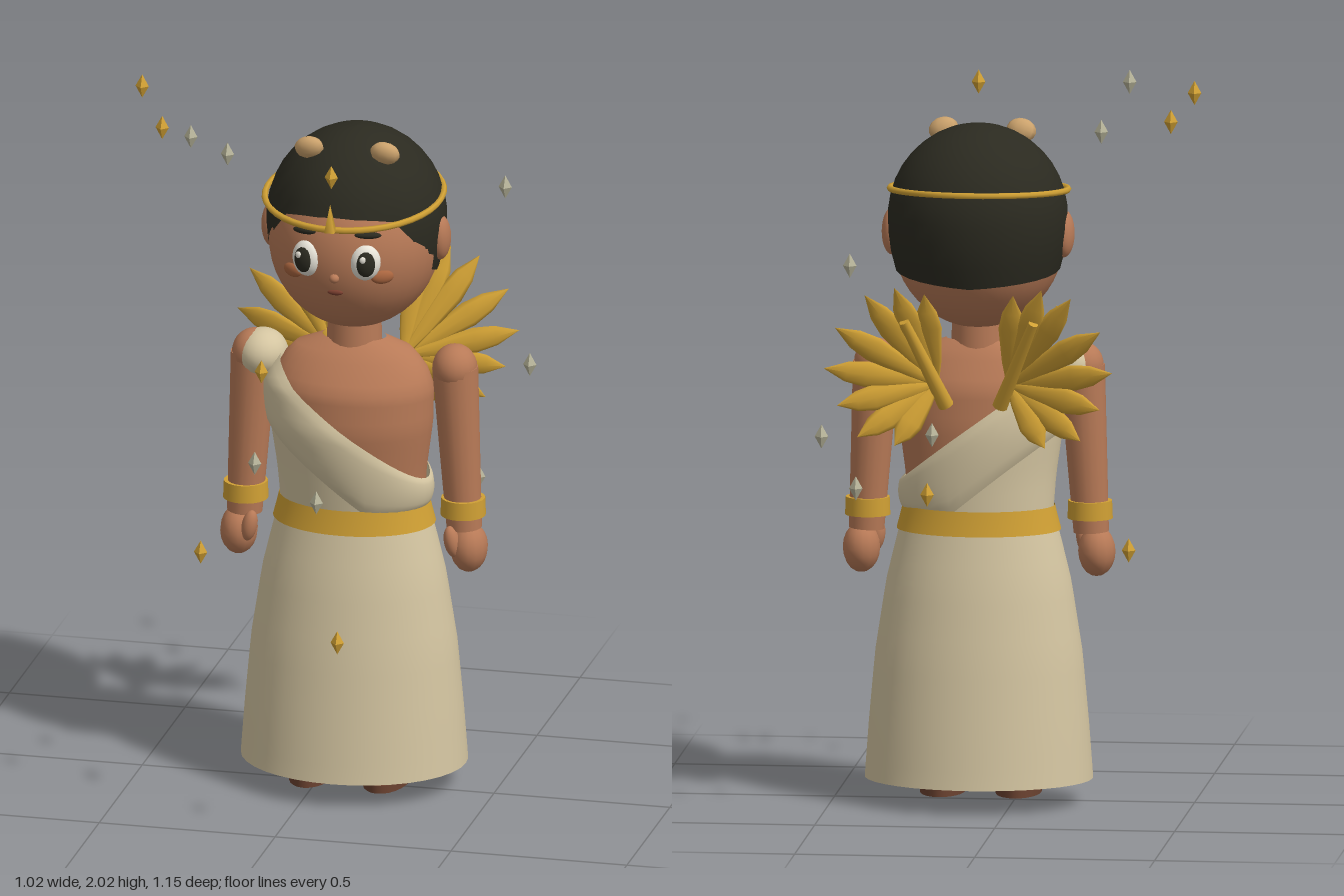
import * as THREE from 'three';

const mat = (name, color, extra = {}) => {
  const m = new THREE.MeshStandardMaterial({ color, ...extra });
  m.name = name;
  return m;
};

export function createModel() {
  const skin = mat('skin', 0xb87a57);
  const dark = mat('dark hair', 0x2b2a20, { side: THREE.DoubleSide });
  const cream = mat('cream cloth', 0xd4c5a1, { side: THREE.DoubleSide });
  const gold = mat('gold', 0xd0a034);
  const silver = mat('pale silver', 0xb5b298);
  const leather = mat('sandal leather', 0x6b4230);
  const tan = mat('tan bud', 0xcba26c);
  const white = mat('eye white', 0xf0ece0);
  const blush = mat('blush', 0xa9653f);
  const lip = mat('lip', 0x7c4030);

  const model = new THREE.Group();
  model.name = 'robedWingedFigure';
  const figure = new THREE.Group();
  figure.name = 'figure';
  figure.position.set(0.095, 0, -0.035);
  model.add(figure);

  const add = (name, geo, material, pos = [0, 0, 0], parent = figure) => {
    const m = new THREE.Mesh(geo, material);
    m.name = name;
    m.position.set(...pos);
    parent.add(m);
    return m;
  };
  const ball = (name, r, material, pos, parent, w = 20, h = 14) =>
    add(name, new THREE.SphereGeometry(1, w, h).scale(...r), material, pos, parent);

  // Tapered cylinder between two points
  const limb = (name, a, b, ra, rb, material, segs = 14) => {
    const A = new THREE.Vector3(...a), B = new THREE.Vector3(...b);
    const d = B.clone().sub(A);
    const m = add(name, new THREE.CylinderGeometry(rb, ra, d.length(), segs), material,
      A.clone().add(B).multiplyScalar(0.5).toArray());
    m.quaternion.setFromUnitVectors(new THREE.Vector3(0, 1, 0), d.normalize());
    return m;
  };

  // Closed-around surface: f(angle, t) gives a point, angle 0 faces +z, t runs upward
  const surface = (f, segs, rows) => {
    const pos = [], idx = [];
    for (let j = 0; j <= rows; j++)
      for (let i = 0; i < segs; i++) pos.push(...f((i / segs) * Math.PI * 2, j / rows));
    for (let j = 0; j < rows; j++)
      for (let i = 0; i < segs; i++) {
        const k = (i + 1) % segs, a = j * segs, b = a + segs;
        idx.push(a + i, a + k, b + k, a + i, b + k, b + i);
      }
    const g = new THREE.BufferGeometry();
    g.setAttribute('position', new THREE.Float32BufferAttribute(pos, 3));
    g.setIndex(idx);
    g.computeVertexNormals();
    return g;
  };
  // Linear lookup in rows of [y, halfWidth, halfDepth, zCentre]
  const section = (table, y) => {
    let i = 0;
    while (i < table.length - 2 && y > table[i + 1][0]) i++;
    const p = table[i], q = table[i + 1];
    const k = THREE.MathUtils.clamp((y - p[0]) / (q[0] - p[0]), 0, 1);
    return p.map((v, n) => v + (q[n] - v) * k);
  };
  const ring = (table, y, a, grow = 0) => {
    const [, hx, hz, zc] = section(table, y);
    return [(hx + grow) * Math.sin(a), y, (hz + grow) * Math.cos(a) + zc];
  };

  // Torso
  const torso = [[0.76, 0.195, 0.135, 0], [0.9, 0.205, 0.145, 0.01], [1.04, 0.225, 0.158, 0.018],
    [1.15, 0.228, 0.15, 0.018], [1.21, 0.205, 0.115, 0.012], [1.255, 0.16, 0.085, 0.005], [1.278, 0.09, 0.06, 0]];
  add('torso', surface((a, t) => ring(torso, 0.76 + 0.518 * t, a), 32, 20), skin);
  add('neck', new THREE.CylinderGeometry(0.073, 0.078, 0.14, 20), skin, [0, 1.3, 0]);

  // One-shouldered bodice with a diagonal top edge, and the sash along it
  const edge = (a) => 1.05 - 0.17 * Math.sin(a);
  add('bodice', surface((a, t) => ring(torso, 0.77 + (edge(a) - 0.77) * t, a, 0.009), 40, 12), cream);
  add('sash', surface((a, t) => {
    const top = edge(a) + 0.004, low = Math.max(0.8, top - 0.2);
    return ring(torso, low + (top - low) * t, a, 0.01 + 0.014 * Math.sin(Math.PI * t) ** 0.5);
  }, 40, 10), cream);
  ball('shoulderDrape', [0.072, 0.068, 0.08], cream, [-0.262, 1.205, 0]);

  // Skirt and belt
  const skirt = [[0.05, 0.317, 0.263, 0], [0.2, 0.306, 0.246, 0], [0.4, 0.288, 0.222, 0],
    [0.6, 0.257, 0.192, 0], [0.72, 0.228, 0.168, 0], [0.81, 0.204, 0.15, 0]];
  add('skirt', surface((a, t) => ring(skirt, 0.05 + 0.76 * t, a), 36, 15), cream);
  add('belt', surface((a, t) => ring(skirt, 0.745 + 0.068 * t, a, 0.007), 36, 2),
    mat('belt gold', 0xd0a034, { side: THREE.DoubleSide }));

  // Head and hair
  ball('head', [0.24, 0.26, 0.25], skin, [0, 1.57, -0.01], figure, 32, 24);
  const hairline = [[0, 1.69], [0.65, 1.68], [1.4, 1.48], [Math.PI, 1.45]];
  add('hair', surface((a, t) => {
    const low = section(hairline, Math.min(a, Math.PI * 2 - a))[1] - 1.62;
    const p = Math.acos(low / (low > 0 ? 0.26 : 0.35)) * (1 - t);
    const c = Math.cos(p), s = Math.sin(p);
    return [0.25 * s * Math.sin(a), 1.62 + c * (c > 0 ? 0.26 : 0.35), -0.027 + 0.254 * s * Math.cos(a)];
  }, 28, 12), dark);
  const band = add('headband', new THREE.TorusGeometry(0.25, 0.009, 6, 40).rotateX(Math.PI / 2).scale(0.985, 1, 1.07),
    gold, [0, 1.694, 0.002]);
  band.rotation.x = 0.08;
  add('headbandSpike', new THREE.ConeGeometry(0.02, 0.08, 4).rotateY(Math.PI / 4), gold, [0, 1.712, 0.283]);

  // Face centre
  ball('nose', [0.014, 0.013, 0.014], skin, [0, 1.52, 0.237]);
  ball('mouth', [0.022, 0.008, 0.006], lip, [0, 1.475, 0.223]);

  // Feather: flattened leaf along +y
  const feather = (len) => new THREE.LatheGeometry(
    [[0.006, 0], [0.022, 0.25], [0.036, 0.62], [0.028, 0.8], [0, 1]]
      .map(([r, h]) => new THREE.Vector2(r, h * len)), 8).scale(1, 1, 0.4);
  const feathers = [[85, 0.29], [70, 0.33], [55, 0.35], [33, 0.345], [11, 0.33], [-10, 0.29], [-33, 0.27], [-56, 0.21]];

  for (const s of [1, -1]) {
    const side = s > 0 ? 'left' : 'right';
    // Eyes, brows, cheeks, ears and hair buds
    const eye = new THREE.Group();
    eye.name = side + 'Eye';
    eye.position.set(s * 0.083, 1.567, 0.214);
    eye.rotation.y = s * 0.3;
    figure.add(eye);
    ball('eyeWhite', [0.043, 0.052, 0.03], white, [0, 0, 0], eye);
    ball('iris', [0.03, 0.039, 0.02], dark, [0, 0, 0.014], eye);
    ball('eyeGlint', [0.009, 0.01, 0.005], white, [-0.009, 0.016, 0.031], eye, 10, 8);
    ball(side + 'Brow', [0.038, 0.01, 0.012], dark, [s * 0.09, 1.646, 0.213]).rotation.set(0, s * 0.38, s * -0.06);
    ball(side + 'Cheek', [0.033, 0.02, 0.013], blush, [s * 0.127, 1.522, 0.196]).rotation.y = s * 0.55;
    ball(side + 'Ear', [0.03, 0.066, 0.045], skin, [s * 0.238, 1.575, -0.02]).rotation.x = 0.12;
    ball(side + 'HairBud', [0.042, 0.034, 0.026], tan, [s * 0.108, 1.845, 0.087], figure, 10, 8).rotation.set(0.4, 0, s * -0.25);

    // Arm, bracelet and hand
    ball(side + 'Shoulder', [0.062, 0.066, 0.068], skin, [s * 0.285, 1.205, 0]);
    limb(side + 'Arm', [s * 0.312, 0.74, 0], [s * 0.286, 1.205, 0], 0.049, 0.064, skin, 18);
    add(side + 'Bracelet', new THREE.CylinderGeometry(0.061, 0.063, 0.05, 20), gold, [s * 0.309, 0.803, 0]);
    ball(side + 'Hand', [0.052, 0.07, 0.064], skin, [s * 0.327, 0.685, 0.005], figure, 14, 10);
    ball(side + 'Thumb', [0.022, 0.045, 0.025], skin, [s * 0.288, 0.71, 0.045]).rotation.z = s * 0.2;

    // Leg and sandal
    limb(side + 'Leg', [s * 0.105, 0.04, -0.01], [s * 0.1, 0.6, 0], 0.046, 0.075, skin);
    ball(side + 'Foot', [0.052, 0.042, 0.105], skin, [s * 0.105, 0.035, 0.05]);
    add(side + 'Sole', new THREE.CylinderGeometry(0.063, 0.063, 0.022, 24).scale(1, 1, 1.9), leather, [s * 0.105, 0.011, 0.05]);
    add(side + 'ToeStrap', new THREE.TorusGeometry(0.05, 0.009, 6, 20).scale(1.05, 0.75, 1.6), leather, [s * 0.105, 0.025, 0.09]);
    for (const y of [0.075, 0.13])
      add(side + 'AnkleStrap', new THREE.TorusGeometry(0.051, 0.008, 6, 20).rotateX(Math.PI / 2), leather, [s * 0.105, y, -0.009]);

    // Wing fan with its arm
    feathers.forEach(([deg, len], i) => {
      const f = add(side + 'Feather', feather(len), gold, [s * 0.1, 1.17, -0.155 - 0.004 * (i % 2)]);
      f.rotation.set(-0.38, 0, s * THREE.MathUtils.degToRad(deg - 90), 'ZYX');
    });
    limb(side + 'WingArm', [s * 0.075, 1.11, -0.15], [s * 0.18, 1.36, -0.26], 0.022, 0.014, gold, 10);
  }

  // Floating sparkles
  const sparkle = new THREE.OctahedronGeometry(1).scale(0.019, 0.034, 0.019);
  const golds = [[-0.5, 1.966, 0], [-0.427, 1.873, 0.066], [0.152, 1.91, 0.468], [-0.303, 0.662, 0.126],
    [0.19, 0.582, 0.554], [-0.08, 1.277, 0.332], [0.2, 0.892, -0.388]];
  const silvers = [[-0.285, 1.942, 0.314], [-0.227, 1.832, 0.125], [0.396, 1.557, -0.556], [0.482, 1.067, -0.49],
    [-0.067, 1.055, 0.463], [0.117, 0.967, 0.5], [0.17, 1.084, -0.536], [0.428, 0.862, -0.118]];
  golds.forEach((p) => add('goldSparkle', sparkle, gold, p, model));
  silvers.forEach((p) => add('silverSparkle', sparkle, silver, p, model));

  return model;
}
